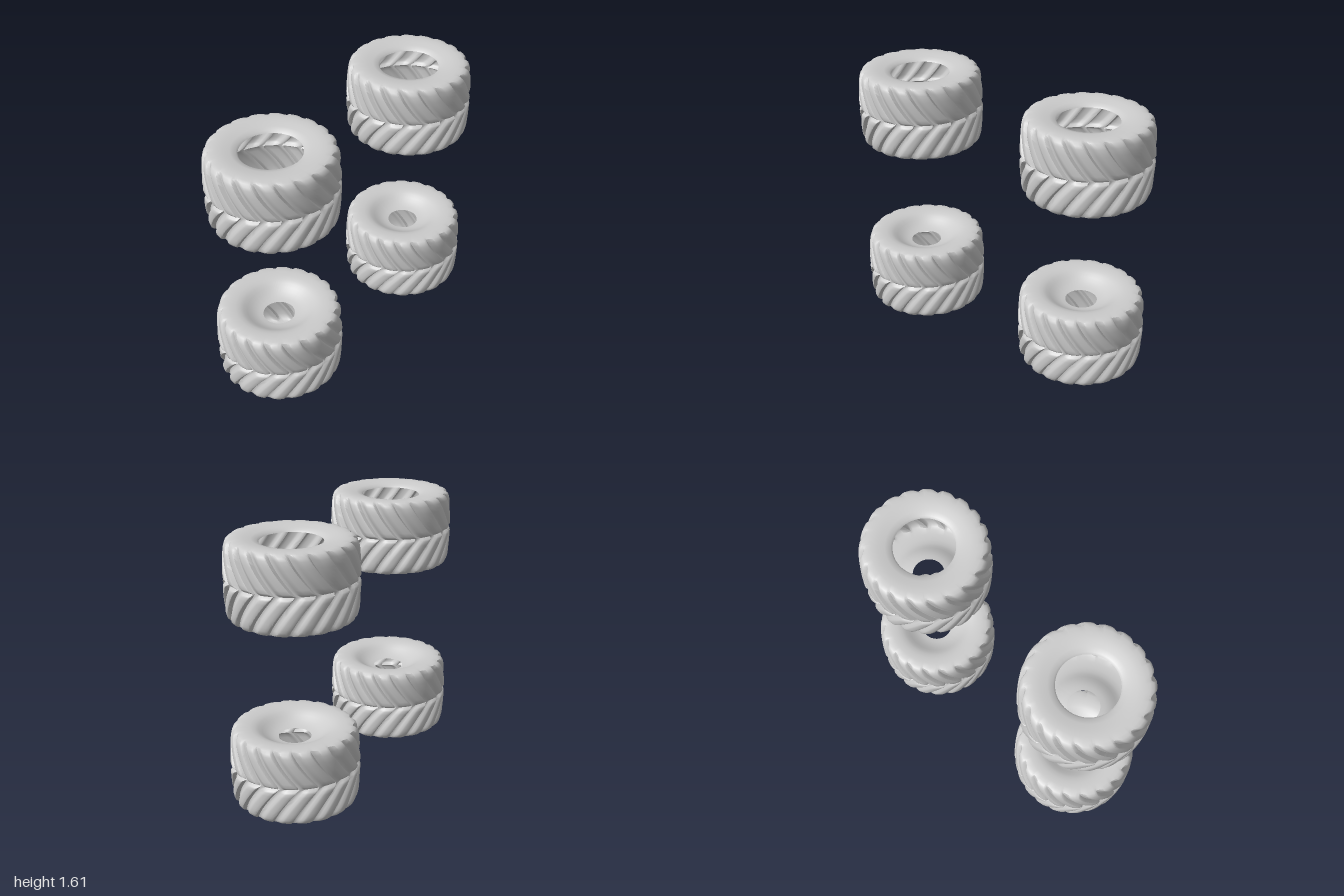
import * as THREE from 'three';
import { toCreasedNormals } from 'three/addons/utils/BufferGeometryUtils.js';

const LUGS = 20;
const HALF = 0.233; // half the tyre width
const TWIST = 0.45; // how far a lug sweeps back from centre to shoulder

// One lug pitch: [fraction of pitch, groove amount], one steep and one gentle flank
const LUG = [[0, 1], [0.08, 0.95], [0.2, 0.6], [0.34, 0.15], [0.46, 0], [0.66, 0], [0.8, 0], [0.86, 0.1], [0.94, 1]];

// Rows of the shell from open side to dished side: [radius, height, groove depth]
function tyreRows() {
  const shoulder = [
    [0.262, -0.23, 0], [0.3, -HALF, 0], [0.33, -0.231, 0.004],
    [0.352, -0.226, 0.012], [0.366, -0.212, 0.02], [0.372, -0.195, 0.024],
  ];
  const half = [...shoulder];
  for (let i = 1; i <= 8; i++) {
    const t = i / 8;
    half.push([0.372 + 0.013 * Math.sqrt(t), -0.195 + 0.173 * t, 0.025]);
  }
  half.push([0.381, -0.012, 0.02]);
  const mirrored = half.map(([r, y, d]) => [r, -y, d]).reverse();
  const openLip = [[0.18, -0.203, 0], [0.19, -0.214, 0], [0.222, -0.222, 0]];
  const dish = [
    [0.235, 0.224, 0], [0.213, 0.214, 0], [0.192, 0.2, 0], [0.17, 0.186, 0],
    [0.147, 0.174, 0], [0.122, 0.165, 0], [0.096, 0.16, 0],
  ];
  return [...openLip, ...half, [0.362, 0, 0], ...mirrored, ...dish];
}

// Shell whose columns follow the swept lugs; flip = -1 turns the dish downward
function tyreGeometry(flip) {
  const rows = tyreRows();
  const cols = LUGS * LUG.length;
  const pos = [];
  const index = [];
  for (const [r, y, depth] of rows) {
    const v = Math.min(Math.abs(y) / HALF, 1);
    const sweep = TWIST * (1.25 * v - 0.25 * v * v);
    for (let c = 0; c < cols; c++) {
      const [u, groove] = LUG[c % LUG.length];
      const a = ((Math.floor(c / LUG.length) + u) / LUGS) * Math.PI * 2 - sweep;
      const radius = r - depth * groove;
      pos.push(radius * Math.sin(a), y * flip, radius * Math.cos(a));
    }
  }
  for (let j = 0; j < rows.length - 1; j++) {
    for (let c = 0; c < cols; c++) {
      const n = (c + 1) % cols;
      const a = j * cols + c, b = j * cols + n;
      const d = a + cols, e = b + cols;
      if (flip > 0) index.push(a, b, e, a, e, d);
      else index.push(a, e, b, a, d, e);
    }
  }
  const geo = new THREE.BufferGeometry();
  geo.setAttribute('position', new THREE.Float32BufferAttribute(pos, 3));
  geo.setIndex(index);
  return toCreasedNormals(geo, 0.8);
}

export function createModel() {
  const group = new THREE.Group();
  group.name = 'tyreSet';
  const rubber = new THREE.MeshStandardMaterial({ color: 0xcccccc, side: THREE.DoubleSide });

  // Lower pair has its dish facing up, upper pair has it facing down
  for (const [level, y, flip] of [['lower', HALF, 1], ['upper', 1.377, -1]]) {
    const geo = tyreGeometry(flip);
    for (const [side, x] of [['Left', 0.614], ['Right', -0.614]]) {
      const tyre = new THREE.Mesh(geo, rubber);
      tyre.name = `${level}${side}Tyre`;
      tyre.position.set(x, y, 0);
      group.add(tyre);
    }
  }
  return group;
}
